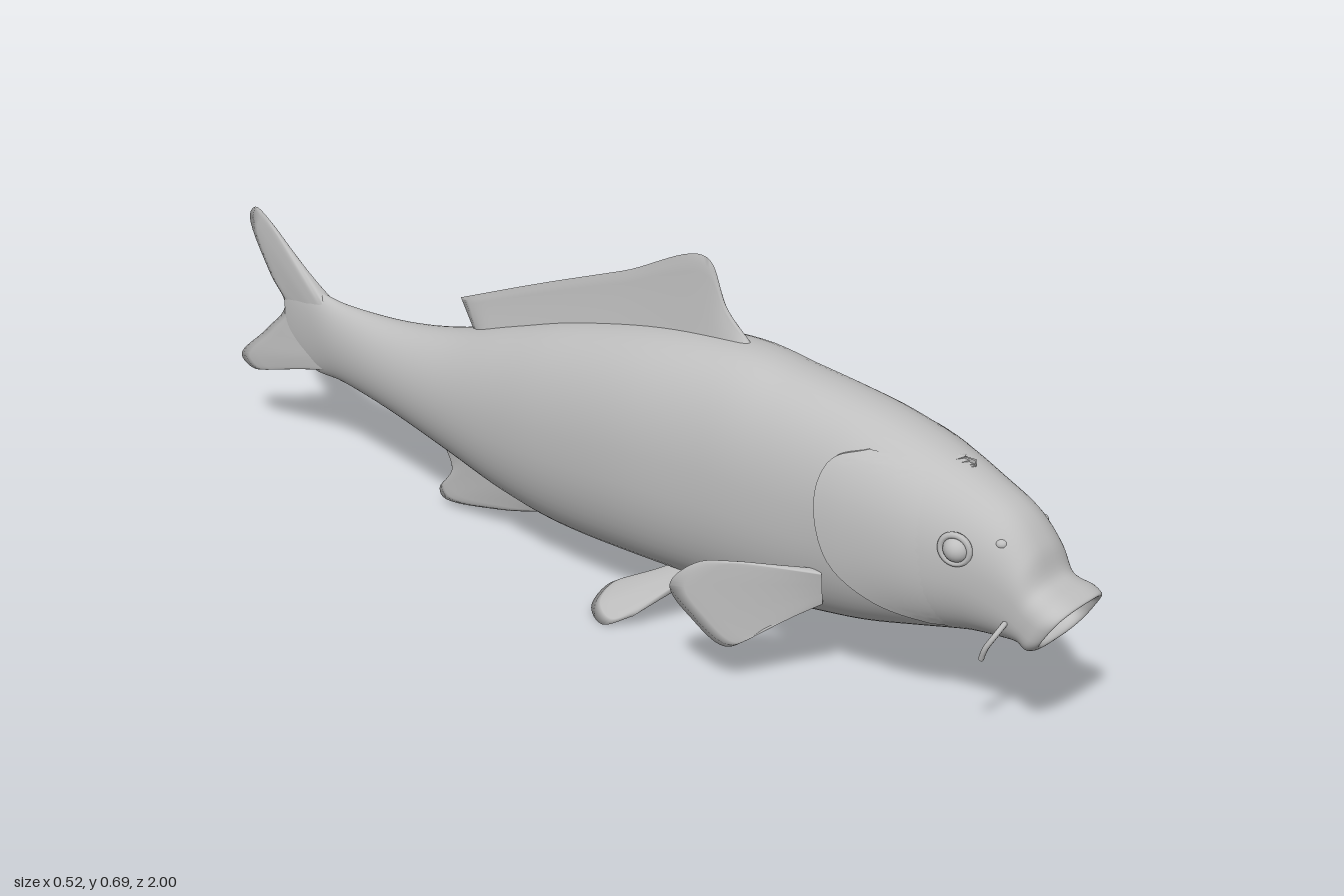
import * as THREE from 'three';
import { mergeVertices, toCreasedNormals } from 'three/addons/utils/BufferGeometryUtils.js';
import { ParametricGeometry } from 'three/addons/geometries/ParametricGeometry.js';

const skin = new THREE.MeshStandardMaterial({ color: 0xbfbfbf, side: THREE.DoubleSide });
skin.name = 'grey skin';
const { lerp, clamp } = THREE.MathUtils;

// Body rings from inside the mouth to the tail: zTop, yTop, zBottom, yBottom, halfWidth, squareness
const rings = [
  [0.88, 0.25, 0.88, 0.25, 0, 2],
  [0.89, 0.27, 0.88, 0.232, 0.035, 2.2],
  [0.935, 0.284, 0.90, 0.224, 0.055, 2.6],
  [0.985, 0.287, 0.935, 0.220, 0.062, 2.8],
  [1.0, 0.296, 0.945, 0.208, 0.072, 3],
  [0.98, 0.307, 0.925, 0.197, 0.08, 3],
  [0.94, 0.322, 0.902, 0.201, 0.074, 2.8],
  [0.915, 0.375, 0.87, 0.195, 0.079, 2.5],
  [0.87, 0.425, 0.82, 0.187, 0.088, 2.3],
  [0.80, 0.46, 0.78, 0.178, 0.098, 2.2],
  [0.70, 0.497, 0.70, 0.158, 0.118, 2.2],
  [0.594, 0.524, 0.594, 0.13, 0.126, 2.2],
  [0.5, 0.538, 0.5, 0.113, 0.127, 2.2],
  [0.4, 0.548, 0.4, 0.10, 0.131, 2.2],
  [0.28, 0.558, 0.28, 0.09, 0.136, 2.2],
  [0.1, 0.538, 0.1, 0.084, 0.14, 2.2],
  [-0.1, 0.49, -0.1, 0.082, 0.126, 2.15],
  [-0.25, 0.44, -0.25, 0.10, 0.108, 2.1],
  [-0.4, 0.388, -0.4, 0.135, 0.087, 2],
  [-0.55, 0.357, -0.55, 0.168, 0.064, 2],
  [-0.7, 0.35, -0.7, 0.188, 0.037, 2],
  [-0.79, 0.36, -0.79, 0.19, 0.018, 2],
  [-0.86, 0.34, -0.86, 0.23, 0.004, 2],
  [-0.865, 0.28, -0.865, 0.28, 0, 2],
];
const last = rings.length - 1;
const loft = new THREE.CubicInterpolant(rings.map((r, i) => i), rings.flat(), 6);
const power = (c, n) => Math.sign(c) * Math.abs(c) ** (2 / n);

function bodyPoint(s, angle, target) {
  const [zT, yT, zB, yB, w, n] = loft.evaluate(s);
  const t = (power(Math.sin(angle), n) + 1) / 2;
  return target.set(Math.max(w, 0) * power(Math.cos(angle), n), lerp(yB, yT, t), lerp(zB, zT, t));
}

// Half width of the body at a given length and height
function halfWidth(z, y) {
  let lo = 8, hi = last;
  for (let i = 0; i < 24; i++) {
    const mid = (lo + hi) / 2;
    const r = loft.evaluate(mid);
    if ((r[0] + r[2]) / 2 > z) lo = mid; else hi = mid;
  }
  const r = loft.evaluate(lo), n = r[5];
  const t = clamp((2 * (y - r[3])) / (r[1] - r[3]) - 1, -1, 1);
  return r[4] * (1 - Math.abs(t) ** n) ** (1 / n);
}

function surface(fn, slices, stacks) {
  const g = new ParametricGeometry(fn, slices, stacks);
  g.deleteAttribute('uv');
  g.deleteAttribute('normal');
  const merged = mergeVertices(g, 1e-5);
  merged.computeVertexNormals();
  return merged;
}

function add(parent, name, geometry, position, scale) {
  const mesh = new THREE.Mesh(geometry, skin);
  mesh.name = name;
  if (position) mesh.position.set(...position);
  if (scale) mesh.scale.set(...scale);
  parent.add(mesh);
  return mesh;
}

const curve = pts => new THREE.CatmullRomCurve3(pts.map(p => new THREE.Vector3(...p)), false, 'centripetal');
const flat = pts => pts.map(([z, y]) => [0, y, z]);
const line = (a, b, n) => Array.from({ length: n }, (_, i) => a.map((c, k) => lerp(c, b[k], i / (n - 1))));

// A fin swept between a root curve and an edge curve, thinning towards the edge
function fin(root, edge, thickness, normal) {
  const a = curve(root), b = curve(edge), dir = new THREE.Vector3(...normal).normalize();
  return surface((u, v, target) => {
    const s = 1 - Math.abs(2 * v - 1), side = v < 0.5 ? 1 : -1;
    const pinch = Math.min(1, Math.sqrt(Math.max(0, u * (1 - u) * 24)));
    const half = s > 0.999 ? 0 : (thickness * (1 - s) ** 1.3 + 0.0025) * pinch;
    target.copy(a.getPoint(u)).lerp(b.getPoint(u), s).addScaledVector(dir, side * half);
  }, 60, 20);
}

// Raised gill cover that follows the head and ends in a stepped rear edge
function gillCover(side) {
  const rear = curve([[0, 0.195, 0.74], [0, 0.22, 0.65], [0, 0.28, 0.567], [0, 0.395, 0.535], [0, 0.46, 0.553], [0, 0.485, 0.61]]);
  const columns = 16;
  const g = surface((u, v, target) => {
    const e = rear.getPoint(v);
    const lip = u > 1 - 0.5 / columns;
    const k = Math.min(1, (u * columns) / (columns - 1));
    const z = lerp(0.77, e.z, k);
    const rise = lip ? -0.008 : lerp(-0.002, 0.012 * Math.sqrt(Math.sin(Math.PI * clamp(v, 0.02, 0.98))), k);
    target.set(side * (halfWidth(z, e.y) + rise), e.y, z);
  }, columns, 30);
  return toCreasedNormals(g, 0.7);
}

export function createModel() {
  const fish = new THREE.Group();
  fish.name = 'fish';

  // Body with open mouth
  add(fish, 'body', surface((u, v, t) => bodyPoint(v * last, -u * Math.PI * 2, t), 56, last * 6));

  // Fins on the centre line
  add(fish, 'dorsalFin', fin(
    flat([[0.30, 0.545], [0.25, 0.543], [0.19, 0.538], [0, 0.5], [-0.2, 0.44], [-0.36, 0.385]]),
    flat([[0.29, 0.555], [0.235, 0.61], [0.19, 0.692], [0, 0.615], [-0.2, 0.535], [-0.397, 0.452]]), 0.012, [1, 0, 0]));
  add(fish, 'tailFin', fin(
    line([0, 0.335, -0.73], [0, 0.205, -0.73], 10),
    flat([[-0.77, 0.365], [-0.85, 0.43], [-0.935, 0.492], [-0.955, 0.468], [-0.905, 0.36],
      [-0.867, 0.305], [-0.925, 0.235], [-0.997, 0.16], [-0.965, 0.14], [-0.85, 0.18]]), 0.016, [1, 0, 0]));
  add(fish, 'analFin', fin(
    line([0, 0.10, -0.14], [0, 0.165, -0.46], 6),
    flat([[-0.165, 0.082], [-0.31, 0.04], [-0.455, 0.02], [-0.463, 0.037], [-0.43, 0.085], [-0.445, 0.135]]), 0.012, [1, 0, 0]));

  for (const side of [1, -1]) {
    const half = new THREE.Group();
    half.name = side > 0 ? 'leftSide' : 'rightSide';
    fish.add(half);
    const mirror = pts => pts.map(([x, y, z]) => [x * side, y, z]);

    // Paired fins
    const pectoralEdge = [[0.19, 0.255], [0.235, 0.25], [0.262, 0.205], [0.24, 0.14], [0.205, 0.088], [0.165, 0.132]]
      .map(([x, y]) => [x, y, 0.53 - (x - 0.12) * 1.43]);
    add(half, 'pectoralFin', fin(mirror(line([0.112, 0.245, 0.54], [0.1, 0.175, 0.535], 6)),
      mirror(pectoralEdge), 0.008, [1.43 * side, 0, 1]));
    add(half, 'pelvicFin', fin(mirror(line([0.062, 0.112, 0.23], [0.04, 0.105, 0.17], 5)),
      mirror([[0.138, 0.026, 0.14], [0.165, 0.003, 0.09], [0.143, 0.016, 0.045], [0.095, 0.042, 0.045], [0.055, 0.06, 0.09]]),
      0.008, [0.65 * side, 0.75, 0]));

    // Head details
    add(half, 'gillCover', gillCover(side));
    add(half, 'eye', new THREE.SphereGeometry(0.024, 24, 16), [0.088 * side, 0.365, 0.80]);
    const lid = add(half, 'eyelid', new THREE.TorusGeometry(0.026, 0.006, 8, 28), [0.094 * side, 0.365, 0.80]);
    lid.rotation.y = side * 1.35;
    add(half, 'nostril', new THREE.SphereGeometry(0.012, 14, 10), [0.058 * side, 0.385, 0.868], [1, 0.8, 1]);
    add(half, 'barbel', new THREE.TubeGeometry(
      curve(mirror([[0.07, 0.255, 0.895], [0.09, 0.23, 0.885], [0.097, 0.205, 0.872], [0.094, 0.18, 0.862]])), 16, 0.005, 8));
  }
  return fish;
}
